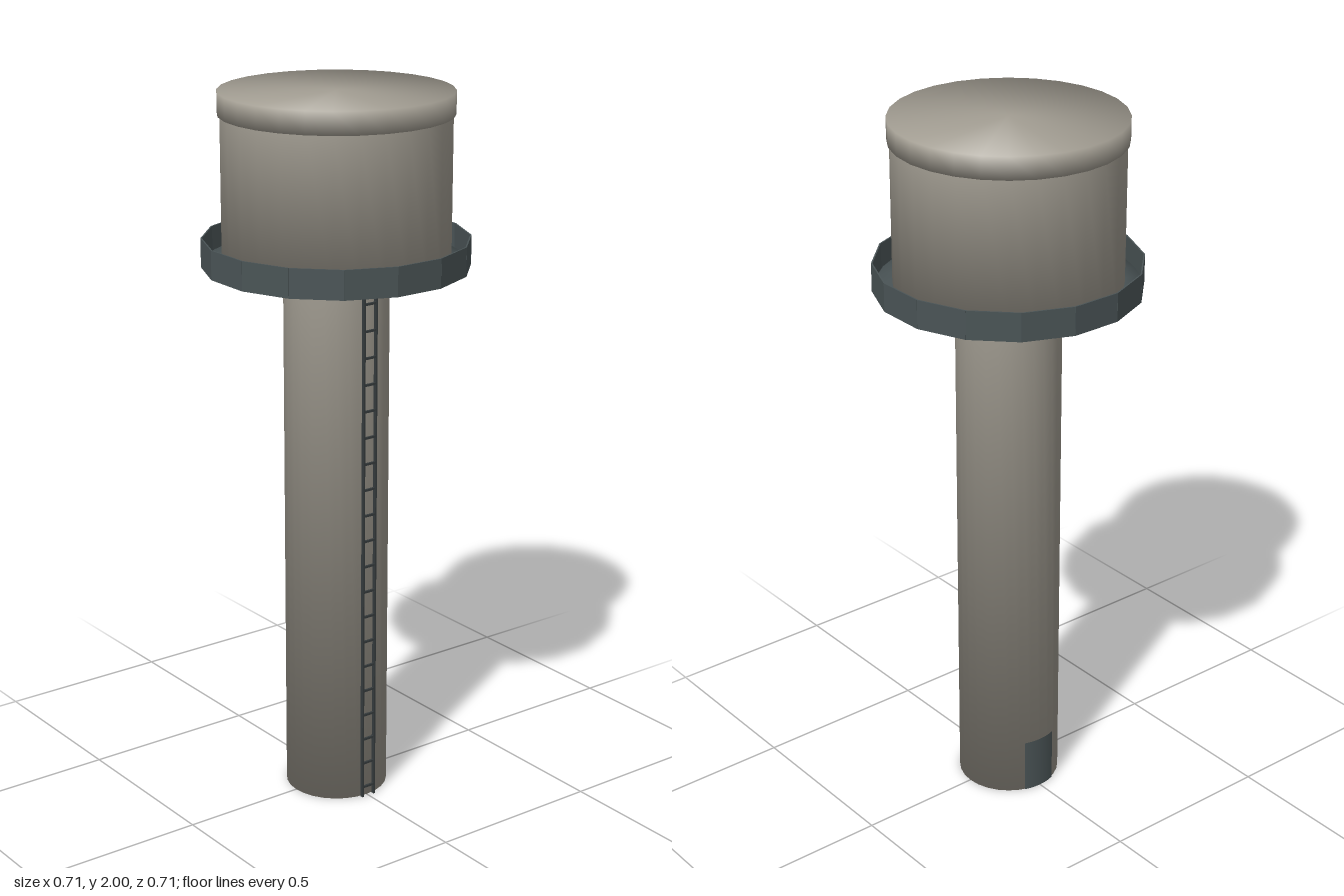
import * as THREE from 'three';

const concrete = new THREE.MeshStandardMaterial({ color: 0xa39e93 });
concrete.name = 'concrete';
const steel = new THREE.MeshStandardMaterial({ color: 0x4a5456 });
steel.name = 'darkSteel';
const ladderSteel = new THREE.MeshStandardMaterial({ color: 0x353b3d });
ladderSteel.name = 'ladderSteel';

const SIDES = 16;

// Lathe whose normals are the even average of neighbouring profile segments
function softLathe(name, profile, segments, material) {
  const pts = profile.map(([r, y]) => new THREE.Vector2(r, y));
  const geo = new THREE.LatheGeometry(pts, segments);
  const segNormals = pts.slice(1).map((p, i) => {
    const d = p.clone().sub(pts[i]).normalize();
    return new THREE.Vector2(d.y, -d.x);
  });
  const normals = pts.map((p, i) => {
    const n = new THREE.Vector2();
    if (i > 0) n.add(segNormals[i - 1]);
    if (i < segNormals.length) n.add(segNormals[i]);
    return n.normalize();
  });
  const attr = geo.attributes.normal;
  for (let i = 0; i <= segments; i++) {
    const a = (i / segments) * Math.PI * 2;
    normals.forEach((n, j) =>
      attr.setXYZ(i * pts.length + j, n.x * Math.sin(a), n.y, n.x * Math.cos(a)));
  }
  const mesh = new THREE.Mesh(geo, material);
  mesh.name = name;
  return mesh;
}

function box(name, size, pos, material) {
  const mesh = new THREE.Mesh(new THREE.BoxGeometry(...size), material);
  mesh.position.set(...pos);
  mesh.name = name;
  return mesh;
}

export function createModel() {
  const tower = new THREE.Group();
  tower.name = 'waterTower';

  // Column and tank with its overhanging lid
  tower.add(softLathe('column', [[0, 0], [0.144, 0], [0.144, 1.53]], 28, concrete));
  tower.add(softLathe('tank', [[0, 1.523], [0.309, 1.523], [0.309, 1.94]], 28, concrete));
  tower.add(softLathe('lid',
    [[0.3, 1.938], [0.316, 1.938], [0.316, 2], [0, 2]], 28, concrete));

  // Walkway floor around the tank
  tower.add(softLathe('walkwayFloor',
    [[0.3, 1.526], [0.355, 1.526], [0.355, 1.54], [0.3, 1.54]], 32, steel));

  // Sixteen parapet panels
  const parapet = new THREE.Group();
  parapet.name = 'parapet';
  const apothem = 0.355;
  const width = 2 * apothem * Math.tan(Math.PI / SIDES);
  for (let i = 0; i < SIDES; i++) {
    const a = (i / SIDES) * Math.PI * 2;
    const panel = box('parapetPanel', [width, 0.08, 0.004],
      [apothem * Math.sin(a), 1.565, apothem * Math.cos(a)], steel);
    panel.rotation.y = a;
    parapet.add(panel);
  }
  tower.add(parapet);

  // Ladder up the front of the column
  const ladder = new THREE.Group();
  ladder.name = 'ladder';
  for (const s of [-1, 1]) {
    ladder.add(box('ladderRail', [0.005, 1.505, 0.01], [s * 0.02, 0.7525, 0.149], ladderSteel));
  }
  for (let i = 0; i < 20; i++) {
    ladder.add(box('ladderRung', [0.04, 0.006, 0.006], [0, 0.03 + i * 0.0748, 0.15], ladderSteel));
  }
  tower.add(ladder);

  // Slatted hatch under the walkway, above the ladder
  const hatch = new THREE.Group();
  hatch.name = 'hatch';
  for (let i = 0; i < 6; i++) {
    hatch.add(box('hatchSlat', [0.05, 0.004, 0.008], [0, 1.521, 0.22 + i * 0.016], ladderSteel));
  }
  tower.add(hatch);

  // Door at the foot of the column, at the back, curved to its wall
  const doorAngle = 0.7;
  const door = new THREE.Mesh(
    new THREE.CylinderGeometry(0.147, 0.147, 0.16, 6, 1, true,
      Math.PI - doorAngle / 2, doorAngle), steel);
  door.position.y = 0.081;
  door.name = 'door';
  tower.add(door);

  return tower;
}
